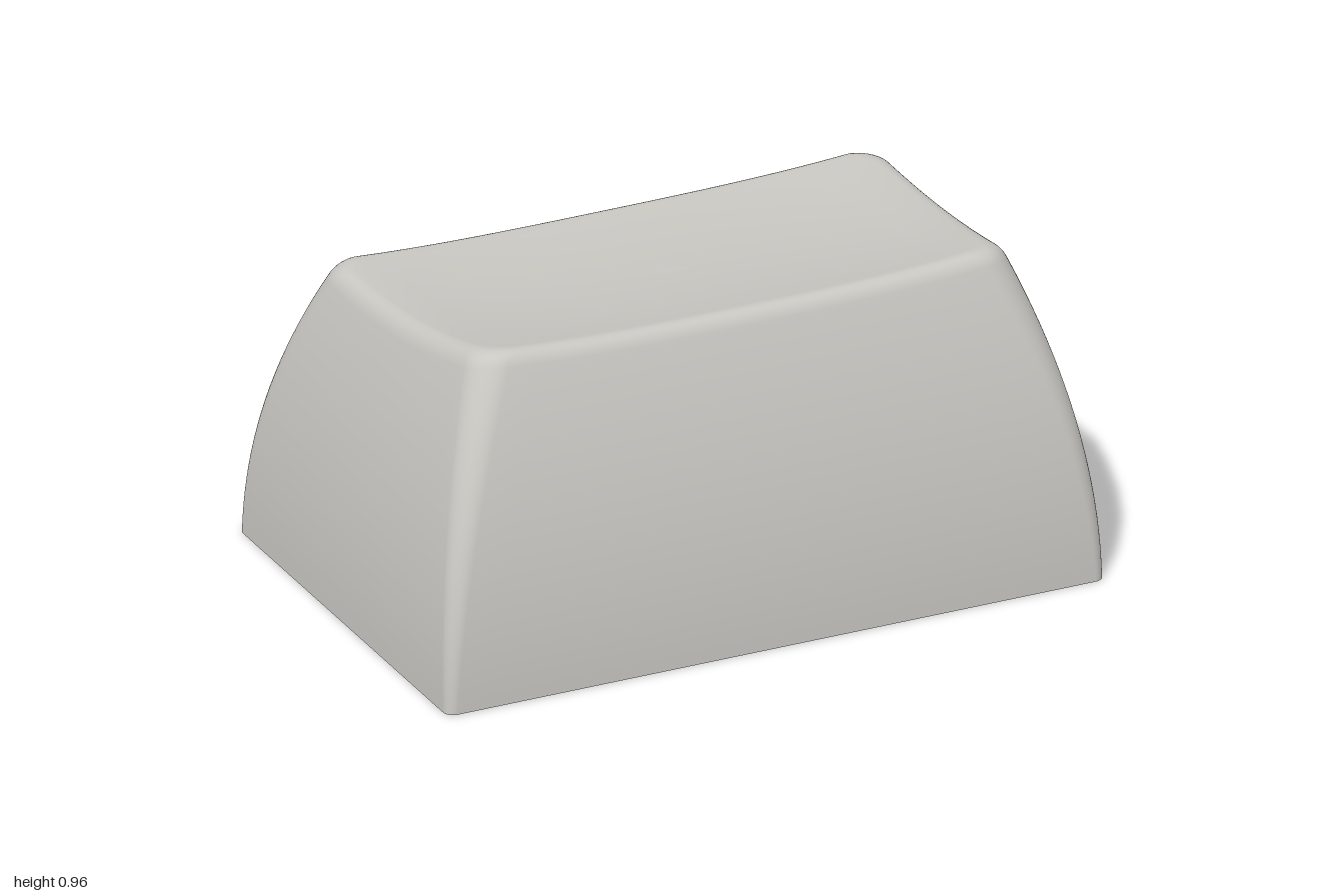
import * as THREE from 'three';

// Dished top surface: slopes up to the front, rises towards the left and right ends
function topHeight(x, z) {
  const end = Math.min(1, Math.abs(x) / 0.76);
  return 0.875 + 0.17 * (z + 0.3) ** 2 - 0.026 * (1 - end ** 3);
}

// Rounded rectangle as corner anchors (sx, sz) plus a corner direction (nx, nz)
function makeOutline(sideSteps = 20, cornerSteps = 8) {
  const corners = [[1, 1], [-1, 1], [-1, -1], [1, -1]];
  const loop = [];
  corners.forEach(([sx, sz], c) => {
    for (let i = 0; i <= cornerSteps; i++) {
      const a = (c + i / cornerSteps) * Math.PI / 2;
      loop.push({ sx, sz, nx: Math.cos(a), nz: Math.sin(a) });
    }
    const [tx, tz] = corners[(c + 1) % 4];
    const a = (c + 1) * Math.PI / 2;
    for (let i = 1; i < sideSteps; i++) {
      const t = i / sideSteps;
      loop.push({
        sx: sx + (tx - sx) * t, sz: sz + (tz - sz) * t,
        nx: Math.cos(a), nz: Math.sin(a),
      });
    }
  });
  return loop;
}

// Point of the bulging side wall at height y, moved inwards by inset
function wallPoint(p, y, inset = 0) {
  const r = 0.03 + 0.06 * Math.min(1, y / 0.9);
  const hx = 1 - 0.19 * (y / 0.94) ** 2 - inset;
  const hz = 0.66 - (p.sz > 0 ? 0.19 * (y / 0.94) ** 2 : 0.2 * (y / 0.86) ** 2) - inset;
  return [p.sx * (hx - r) + p.nx * r, p.sz * (hz - r) + p.nz * r];
}

function makeOuterShell(outline) {
  const wallRows = 20, filletRows = 8, topRows = 16, drop = 0.05;
  const rim = outline.map((p) => {
    let y = 0.9;
    for (let i = 0; i < 5; i++) y = topHeight(...wallPoint(p, y)) - drop;
    return y;
  });
  const rows = [];
  // Side walls
  for (let j = 0; j <= wallRows; j++) {
    rows.push(outline.map((p, i) => {
      const y = rim[i] * j / wallRows;
      const [x, z] = wallPoint(p, y);
      return [x, y, z];
    }));
  }
  // Rounded upper edge
  for (let j = 1; j <= filletRows; j++) {
    const k = j / filletRows;
    const inset = 2 * k * (1 - k) * 0.018 + k * k * 0.06;
    rows.push(outline.map((p, i) => {
      const [x, z] = wallPoint(p, rim[i], inset);
      return [x, topHeight(x, z) - drop * (1 - k) ** 2, z];
    }));
  }
  // Dish, in rings shrinking to the centre
  const edge = rows[rows.length - 1];
  for (let j = 1; j <= topRows; j++) {
    const k = 1 - j / topRows;
    rows.push(edge.map(([ex, , ez]) => [ex * k, topHeight(ex * k, ez * k), ez * k]));
  }
  const n = outline.length, index = [];
  for (let j = 0; j < rows.length - 1; j++) {
    for (let i = 0; i < n; i++) {
      const a = j * n + i, b = j * n + (i + 1) % n;
      index.push(a, a + n, b);
      if (j < rows.length - 2) index.push(b, a + n, b + n);
    }
  }
  const geo = new THREE.BufferGeometry();
  geo.setAttribute('position', new THREE.Float32BufferAttribute(rows.flat(2), 3));
  geo.setIndex(index);
  geo.computeVertexNormals();
  // The collapsed centre ring points straight up
  const normal = geo.attributes.normal;
  for (let i = normal.count - n; i < normal.count; i++) normal.setXYZ(i, 0, 1, 0);
  return geo;
}

// Hollow inside: a tapered box without a floor, faces turned inwards
function makeCavity(hx, hz, taper, height) {
  const geo = new THREE.BoxGeometry(2, height, 2).translate(0, height / 2, 0);
  const pos = geo.attributes.position;
  for (let i = 0; i < pos.count; i++) {
    const t = pos.getY(i) > 0 ? taper : 0;
    pos.setX(i, pos.getX(i) * (hx - t));
    pos.setZ(i, pos.getZ(i) * (hz - t));
  }
  const faces = Array.from(geo.index.array);
  faces.splice(18, 6);
  geo.setIndex(faces.reverse());
  geo.clearGroups();
  geo.computeVertexNormals();
  return geo;
}

export function createModel() {
  const group = new THREE.Group();
  const plastic = new THREE.MeshStandardMaterial({ color: 0xc9c7c2 });
  plastic.name = 'warm grey plastic';
  const add = (name, geo) => {
    const mesh = new THREE.Mesh(geo, plastic);
    mesh.name = name;
    group.add(mesh);
    return mesh;
  };
  const outline = makeOutline();
  const innerX = 0.917, innerZ = 0.577, ceiling = 0.72;

  add('outerShell', makeOuterShell(outline));
  add('cavity', makeCavity(innerX, innerZ, 0.13, ceiling));

  // Flat rim underneath, facing down
  const rim = new THREE.Shape(outline.map((p) => new THREE.Vector2(...wallPoint(p, 0))));
  rim.holes.push(new THREE.Path([[1, 1], [1, -1], [-1, -1], [-1, 1]]
    .map(([x, z]) => new THREE.Vector2(x * innerX, z * innerZ))));
  add('bottomRim', new THREE.ShapeGeometry(rim).rotateX(Math.PI / 2));

  // Stem with a cross-shaped socket
  const radius = 0.2, socketDepth = 0.3, arm = 0.147, half = 0.045;
  const ring = new THREE.Shape().absarc(0, 0, radius, 0, Math.PI * 2, false);
  const cross = [];
  for (let q = 0; q < 4; q++) {
    for (const [x, y] of [[arm, -half], [arm, half], [half, half]]) {
      cross.push(new THREE.Vector2(x, y).rotateAround(new THREE.Vector2(), q * Math.PI / 2));
    }
  }
  ring.holes.push(new THREE.Path(cross));
  add('stemSocket', new THREE.ExtrudeGeometry(ring, {
    depth: socketDepth, bevelEnabled: false, curveSegments: 16,
  }).rotateX(-Math.PI / 2));
  const upper = ceiling - socketDepth;
  add('stemUpper', new THREE.CylinderGeometry(radius, radius, upper, 32)
    .translate(0, socketDepth + upper / 2, 0));

  return group;
}
